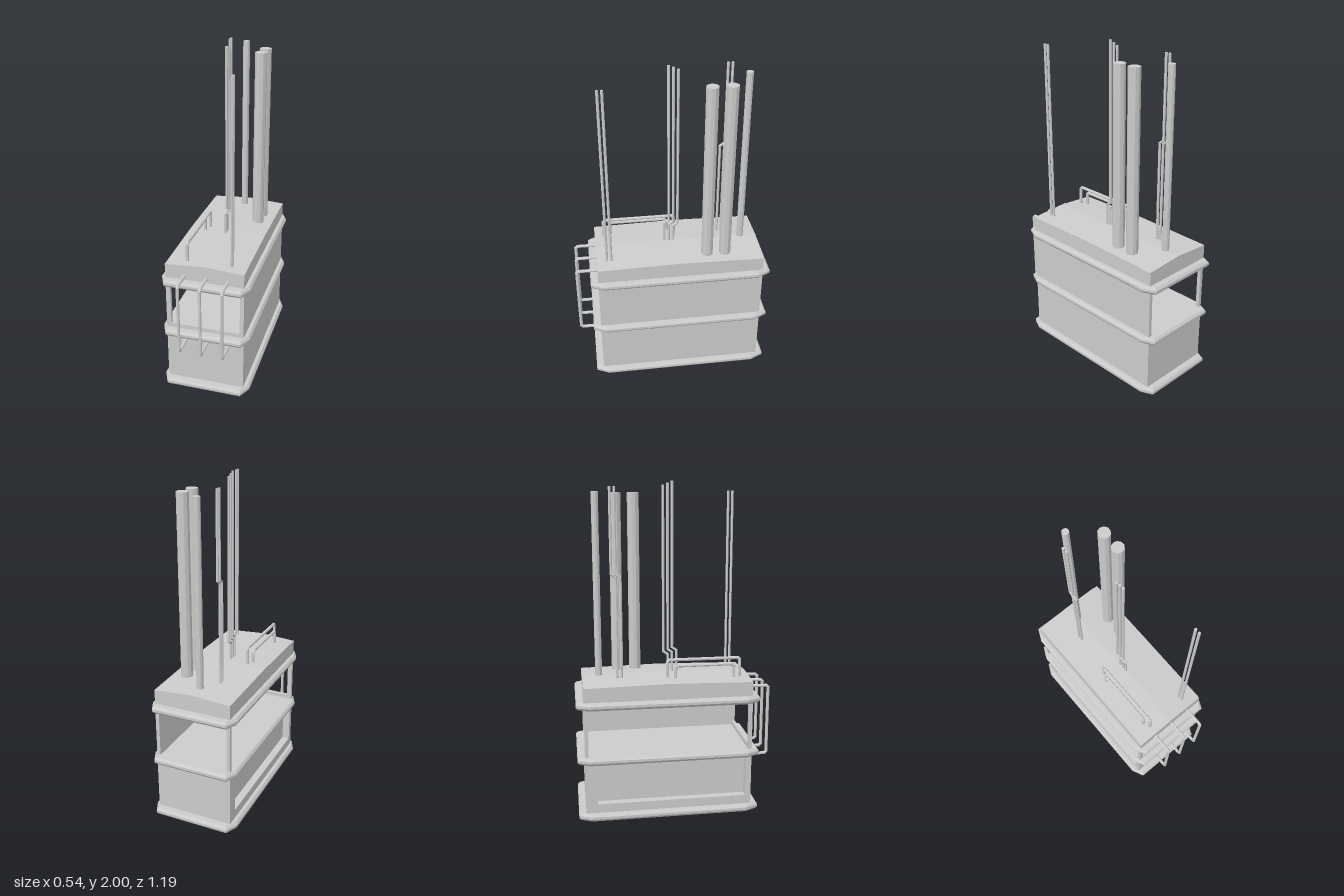
import * as THREE from 'three';

const material = new THREE.MeshStandardMaterial({ color: 0xcccccc, flatShading: true });

// Body extents
const W = 0.238, BACK = -0.551, FRONT = 0.462;
const MID = (BACK + FRONT) / 2, LEN = FRONT - BACK;

function add(parent, name, geometry, x = 0, y = 0, z = 0) {
  const mesh = new THREE.Mesh(geometry, material);
  mesh.name = name;
  mesh.position.set(x, y, z);
  parent.add(mesh);
  return mesh;
}

// Box given by its minimum and maximum corners
function block(parent, name, [x0, y0, z0], [x1, y1, z1]) {
  return add(parent, name, new THREE.BoxGeometry(x1 - x0, y1 - y0, z1 - z0),
    (x0 + x1) / 2, (y0 + y1) / 2, (z0 + z1) / 2);
}

function rectangle(Type, x0, y0, x1, y1) {
  return new Type([[x0, y0], [x1, y0], [x1, y1], [x0, y1]].map(p => new THREE.Vector2(...p)));
}

// Panel with a rectangular opening, extruded along +z
function frame(outer, inner, depth) {
  const shape = rectangle(THREE.Shape, ...outer);
  shape.holes.push(rectangle(THREE.Path, ...inner));
  return new THREE.ExtrudeGeometry(shape, { depth, bevelEnabled: false });
}

// Bevelled slab with cut corners, running around the body
function bandGeometry() {
  const bevel = 0.012, x = 0.27 - bevel, z0 = -0.596 + bevel, z1 = 0.508 - bevel, cx = 0.032, cz = 0.068;
  const shape = new THREE.Shape([
    [x - cx, z0], [x, z0 + cz], [x, z1 - cz], [x - cx, z1],
    [cx - x, z1], [-x, z1 - cz], [-x, z0 + cz], [cx - x, z0],
  ].map(p => new THREE.Vector2(...p)));
  const geometry = new THREE.ExtrudeGeometry(shape, {
    depth: 0.015, bevelThickness: 0.015, bevelSize: bevel, bevelSegments: 1,
  });
  return geometry.rotateX(Math.PI / 2).translate(0, 0.03, 0);
}

// Mitred round pipe through [y, z] points in a plane of constant x
function pipeGeometry(path, radius, sides = 8) {
  const points = path.map(p => new THREE.Vector2(...p));
  const position = [], index = [], last = points.length - 1;
  points.forEach((p, i) => {
    const before = p.clone().sub(points[Math.max(i - 1, 0)]).normalize();
    const after = points[Math.min(i + 1, last)].clone().sub(p).normalize();
    const tangent = before.clone().add(after).normalize();
    const stretch = 1 / tangent.dot(i < last ? after : before);
    for (let s = 0; s < sides; s++) {
      const a = (s / sides) * Math.PI * 2;
      const m = radius * Math.sin(a) * stretch;
      position.push(radius * Math.cos(a), p.x - tangent.y * m, p.y + tangent.x * m);
      if (i < last) {
        const b = i * sides + s, c = i * sides + (s + 1) % sides;
        index.push(b, c + sides, c, b, b + sides, c + sides);
      }
    }
  });
  // End caps
  for (let s = 1; s < sides - 1; s++) {
    const e = last * sides;
    index.push(0, s, s + 1, e, e + s + 1, e + s);
  }
  const geometry = new THREE.BufferGeometry();
  geometry.setAttribute('position', new THREE.Float32BufferAttribute(position, 3));
  geometry.setIndex(index);
  geometry.computeVertexNormals();
  return geometry;
}

// Replace the inner corners of a [y, z] path by short diagonals
function cutCorners(path, size) {
  return path.flatMap((p, i) => {
    if (i === 0 || i === path.length - 1) return [p];
    return [path[i - 1], path[i + 1]].map(q => {
      const k = size / Math.hypot(q[0] - p[0], q[1] - p[1]);
      return [p[0] + (q[0] - p[0]) * k, p[1] + (q[1] - p[1]) * k];
    });
  });
}

export function createModel() {
  const model = new THREE.Group();
  model.name = 'cabin';

  // Lower hull with a recessed panel on the -x side
  block(model, 'lowerHull', [-0.192, 0.02, BACK], [W, 0.38, FRONT]);
  const side = frame([BACK, 0.02, FRONT, 0.38], [BACK + 0.07, 0.1, FRONT - 0.035, 0.34], W - 0.192);
  add(model, 'recessFrame', side.rotateY(-Math.PI / 2), -0.192);

  // Three bands: base, deck and under the roof
  const band = bandGeometry();
  [['baseBand', 0], ['deckBand', 0.357], ['roofBand', 0.697]]
    .forEach(([name, y]) => add(model, name, band, 0, y));

  // Upper cabin: solid +x wall, front window, open back and -x side
  const t = 0.022;
  block(model, 'sideWall', [W - t, 0.39, BACK], [W, 0.715, FRONT]);
  add(model, 'frontWindowWall',
    frame([-W, 0.39, W - t, 0.715], [-0.21, 0.428, W - t - 0.002, 0.682], t), 0, 0, FRONT - t);
  block(model, 'backPost', [-W, 0.39, BACK], [-W + t, 0.715, BACK + t]);

  // Roof block rising to a low central peak
  const roof = new THREE.BoxGeometry(W * 2, 0.1, LEN, 2, 1, 2);
  const p = roof.attributes.position;
  for (let i = 0; i < p.count; i++) {
    if (p.getY(i) < 0) continue;
    const rise = (Math.abs(p.getX(i)) < 0.01 ? 0.016 : 0) + (Math.abs(p.getZ(i)) < 0.01 ? 0.01 : 0);
    p.setY(i, p.getY(i) + rise);
  }
  roof.computeVertexNormals();
  add(model, 'roof', roof, 0, 0.778, MID);

  // Thick vertical ducts
  const ducts = new THREE.Group();
  ducts.name = 'ducts';
  model.add(ducts);
  [[0.147, -0.323, 0.036, 1.93], [0.147, -0.213, 0.036, 1.93], [-0.004, -0.449, 0.021, 1.94]]
    .forEach(([x, z, r, top]) => add(ducts, 'duct',
      new THREE.CylinderGeometry(r, r, top - 0.82, 10), x, (top + 0.82) / 2, z));

  // Thin conduits; jogged ones shift backwards at a given height
  const conduits = new THREE.Group();
  conduits.name = 'conduits';
  model.add(conduits);
  const conduit = (x, z, top, jogY, shift = 0.027) => {
    const path = jogY
      ? [[0.82, z], [jogY, z], [jogY + 0.02, z - shift], [top, z - shift]]
      : [[0.82, z], [top, z]];
    add(conduits, 'conduit', pipeGeometry(path, 0.008), x);
  };
  [0.374, 0.4].forEach(z => conduit(0.146, z, 1.94));
  [0, 1, 2].forEach(i => conduit(0, 0.031 - i * 0.027, 2 - i * 0.012, 0.982 - i * 0.012));
  [-0.314, -0.34].forEach(z => conduit(-0.08, z, 1.97, 1.45));

  // Bent pipes lying along the roof
  [[-0.119, 0.952, 0.403, -0.041], [-0.138, 0.919, 0.362, 0.005]].forEach(([x, y, z0, z1]) =>
    add(model, 'roofPipe', pipeGeometry(cutCorners([[0.82, z0], [y, z0], [y, z1], [0.82, z1]], 0.012), 0.01), x));

  // Bars across the front window
  const bar = pipeGeometry(cutCorners([[0.768, 0.45], [0.768, 0.587], [0.324, 0.587], [0.324, 0.45]], 0.012), 0.01);
  [-0.119, 0.012, 0.143].forEach(x => add(model, 'frontBar', bar, x));

  return model;
}
